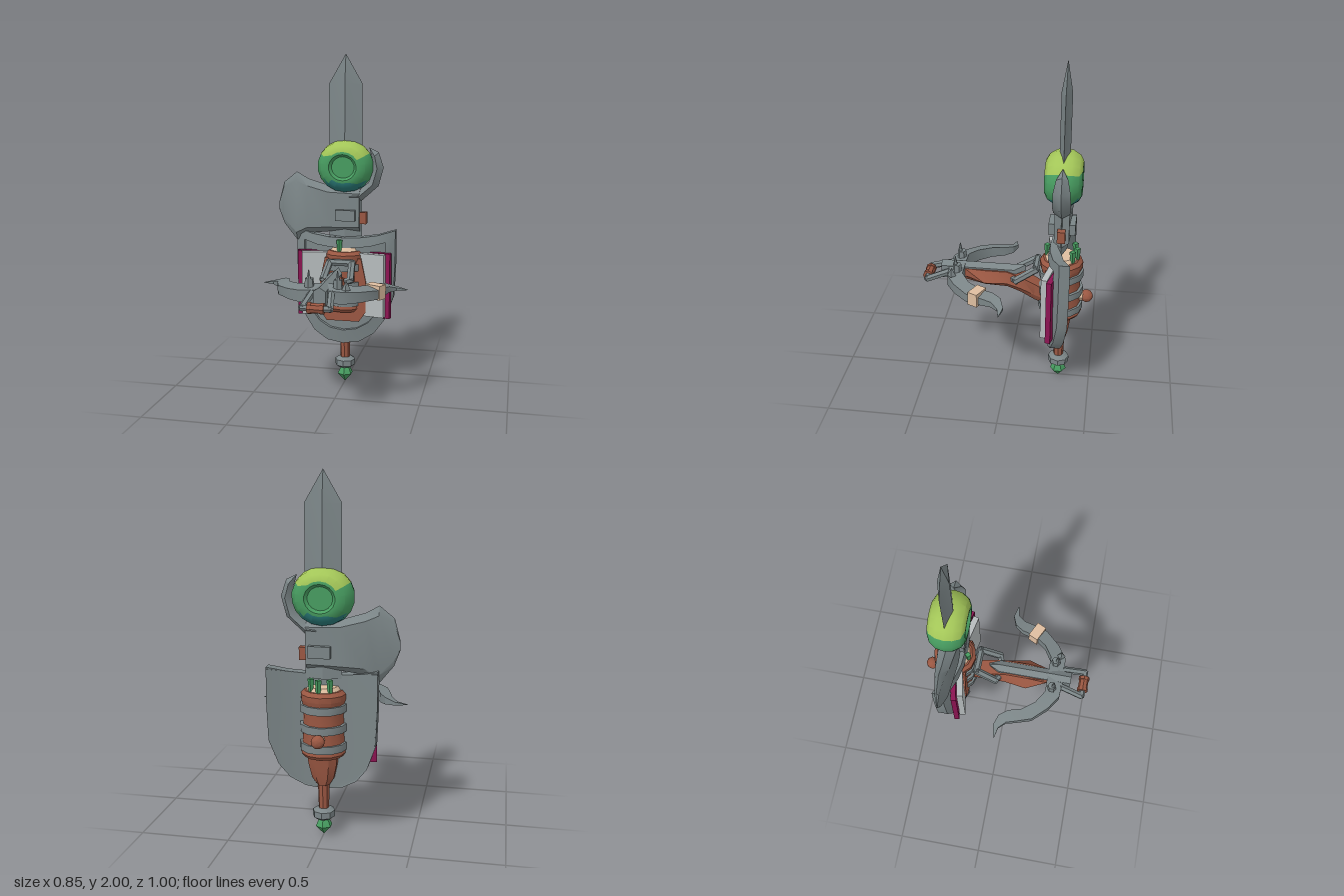
import * as THREE from 'three';
import { toCreasedNormals } from 'three/addons/utils/BufferGeometryUtils.js';

const mat = (name, color) => Object.assign(new THREE.MeshStandardMaterial({ color }), { name });
const V = (x, y, z) => new THREE.Vector3(x, y, z);
const ZC = -0.31; // depth of the upright bundle

// smooth across shallow bends, sharp at real edges
const crease = (geo) => toCreasedNormals(geo, 0.55);

// skin between rings of equal point count, wound outward by signed volume
function loft(rings, closed = false) {
  const tris = [], n = rings[0].length, m = rings.length;
  for (let i = 0; i < (closed ? m : m - 1); i++) {
    const a = rings[i], b = rings[(i + 1) % m];
    for (let j = 0; j < n; j++) {
      const k = (j + 1) % n;
      tris.push([a[j], a[k], b[k]], [a[j], b[k], b[j]]);
    }
  }
  if (!closed) {
    // caps are zipped strips, so concave arcs stay tidy
    const cap = (r, flip) => {
      for (let lo = 0, hi = n - 1; lo + 1 < hi; lo++, hi--) {
        const t = [[r[lo], r[hi], r[lo + 1]]];
        if (lo + 1 < hi - 1) t.push([r[lo + 1], r[hi], r[hi - 1]]);
        for (const q of t) tris.push(flip ? [q[0], q[2], q[1]] : q);
      }
    };
    cap(rings[0], false);
    cap(rings[m - 1], true);
  }
  const vol = tris.reduce((s, [a, b, c]) => s + a.dot(b.clone().cross(c)), 0);
  const pts = tris.flatMap(([a, b, c]) => (vol < 0 ? [a, c, b] : [a, b, c]));
  return crease(new THREE.BufferGeometry().setFromPoints(pts));
}

export function createModel() {
  const root = new THREE.Group();
  const steel = mat('steel', 0x7b8587), leather = mat('leather', 0x9a5742), lime = mat('lime', 0xa3c658),
    green = mat('green', 0x479c60), teal = mat('teal', 0x2a7a78), magenta = mat('magenta', 0x8c1452),
    paper = mat('paper', 0xb6bcbd), cream = mat('cream', 0xdebea0);

  const add = (name, geo, m, x = 0, y = 0, z = 0, parent = root) => {
    const mesh = new THREE.Mesh(geo, m);
    mesh.name = name;
    mesh.position.set(x, y, z);
    parent.add(mesh);
    return mesh;
  };
  const group = (name) => {
    const g = new THREE.Group();
    g.name = name;
    root.add(g);
    return g;
  };
  const box = (w, h, d) => new THREE.BoxGeometry(w, h, d);
  const cyl = (rt, rb, h, n = 8) => crease(new THREE.CylinderGeometry(rt, rb, h, n));
  const lathe = (pts, n) => crease(new THREE.LatheGeometry(pts.map((p) => new THREE.Vector2(...p)), n));
  const rod = (name, a, b, r, m, parent) => {
    const mesh = add(name, cyl(r, r, a.distanceTo(b) + r, 6), m, 0, 0, 0, parent);
    mesh.position.copy(a).lerp(b, 0.5);
    mesh.quaternion.setFromUnitVectors(V(0, 1, 0), b.clone().sub(a).normalize());
  };

  // sword blade with a diamond section
  add('swordBlade', loft([[0.9, 0.1, 0.03], [1.83, 0.1, 0.03], [2, 0.001, 0.001]].map(([y, w, t]) =>
    [V(w, y, ZC), V(0, y, ZC + t), V(-w, y, ZC), V(0, y, ZC - t)])), steel);

  // grip, pommel and gem at the foot
  add('grip', cyl(0.038, 0.028, 0.3), leather, 0, 0.29, ZC);
  add('pommel', lathe([[0, 0.095], [0.04, 0.095], [0.062, 0.11], [0.062, 0.145], [0.04, 0.16], [0, 0.16]], 8), steel, 0, 0, ZC);
  add('pommelGem', lathe([[0, 0], [0.048, 0.052], [0.035, 0.08], [0.02, 0.1]], 6), green, 0, 0, ZC);

  // flattened orb with a sunken disc each side, in three bands of colour
  const half = [[0.17, 0], [0.162, 0.045], [0.135, 0.085], [0.1, 0.103], [0.083, 0.103], [0.068, 0.085], [0, 0.085]];
  const orbGeo = new THREE.LatheGeometry([...half.slice(1).reverse().map(([r, z]) => [r, -z]), ...half]
    .map((q) => new THREE.Vector2(...q)), 18);
  orbGeo.rotateX(Math.PI / 2).scale(1, 0.93, 1);
  const orb = crease(orbGeo), p = orb.attributes.position;
  orb.clearGroups();
  for (let i = 0; i < p.count; i += 3) {
    const y = (p.getY(i) + p.getY(i + 1) + p.getY(i + 2)) / 3;
    const r = Math.hypot(y, (p.getX(i) + p.getX(i + 1) + p.getX(i + 2)) / 3);
    orb.addGroup(i, 3, r < 0.092 ? 1 : y > 0.064 ? 0 : y < -0.09 ? 2 : 1);
  }
  add('orb', orb, [lime, green, teal], 0, 1.345, ZC);

  // axe: fan blade, hooked back spike, collar and peg
  const axe = group('axe');
  const axeStations = [[-0.412, 1.12, 1.07, 0.003], [-0.38, 1.24, 0.985, 0.012], [-0.3, 1.305, 0.885, 0.026],
    [-0.23, 1.265, 0.93, 0.038], [-0.1, 1.225, 0.945, 0.05], [0.09, 1.215, 0.95, 0.042]];
  add('axeBlade', loft(axeStations.map(([x, t, b, d]) => {
    const c = (t + b) / 2, h = (t - b) * 0.38;
    return [V(x, t, ZC), V(x, c + h, ZC + d), V(x, c - h, ZC + d), V(x, b, ZC), V(x, c - h, ZC - d), V(x, c + h, ZC - d)];
  })), steel, 0, 0, 0, axe);
  const hook = [[0.03, 1.13, 0.03, 1.2, 0.05], [0.1, 1.14, 0.08, 1.2, 0.05], [0.2, 1.23, 0.14, 1.25, 0.05],
    [0.23, 1.34, 0.165, 1.33, 0.048], [0.2, 1.43, 0.16, 1.39, 0.033], [0.145, 1.457, 0.144, 1.452, 0.003]];
  add('axeHook', loft(hook.map(([x, y, u, v, d]) =>
    [V(x, y, ZC), V((x + u) / 2, (y + v) / 2, ZC + d), V(u, v, ZC), V((x + u) / 2, (y + v) / 2, ZC - d)])), steel, 0, 0, 0, axe);
  add('axeCollar', box(0.12, 0.065, 0.15), steel, 0.01, 1.055, ZC, axe);
  add('axePeg', box(0.1, 0.07, 0.045), leather, 0.08, 1.035, ZC, axe);

  // shield: bowed plate and raised rim
  const shield = group('shield');
  const bow = (x) => -0.258 - 0.8 * x * x;
  const rows = [[0.93, 0.3], [0.75, 0.3], [0.55, 0.29], [0.42, 0.24], [0.34, 0.18], [0.29, 0.1], [0.27, 0.02]];
  const us = [-1, -0.67, -0.33, 0, 0.33, 0.67, 1];
  add('shieldPlate', loft(rows.map(([y, w], i) => {
    const at = (u, d) => V(u * w, y + (i ? 0 : 0.03 * u * u - 0.01), bow(u * w) - d);
    return [...us.map((u) => at(u, 0)), ...[...us].reverse().map((u) => at(u, 0.045))];
  })), steel, 0, 0, 0, shield);
  const side = [[0.09, 0.922], [0.2, 0.935], [0.303, 0.962], [0.303, 0.75], [0.295, 0.55], [0.245, 0.41], [0.185, 0.33], [0.1, 0.28]];
  const outline = [[0, 0.92], ...side, [0, 0.265], ...[...side].reverse().map(([x, y]) => [-x, y])];
  add('shieldRim', loft(outline.map(([x, y]) => {
    const ix = x * 0.82, iy = 0.65 + (y - 0.65) * 0.78;
    return [V(x, y, bow(x) + 0.015), V(ix, iy, bow(ix) + 0.025), V(ix, iy, bow(ix) - 0.03), V(x, y, bow(x) - 0.044)];
  }), true), steel, 0, 0, 0, shield);

  // open book in front of the shield
  const book = group('book');
  for (const s of [1, -1]) {
    add('bookCover', box(0.13, 0.4, 0.03), magenta, s * 0.222, 0.632, -0.277, book).rotation.y = -s * 0.24;
    add('bookPages', box(0.25, 0.385, 0.035), paper, s * 0.13, 0.637, -0.257, book).rotation.y = -s * 0.2;
  }

  // leather pouch in front of the shield, scabbard tip behind it
  const pouch = new THREE.Shape([[-0.1, 0.41], [0.1, 0.41], [0.14, 0.47], [0.14, 0.66], [0.11, 0.8], [-0.11, 0.8], [-0.14, 0.66], [-0.14, 0.47]]
    .map((q) => new THREE.Vector2(...q)));
  add('pouch', new THREE.ExtrudeGeometry(pouch, { depth: 0.06, bevelEnabled: false }), leather, 0, 0, -0.288);
  add('scabbard', loft([[0.5, 0.085, -0.385], [0.42, 0.077, -0.372], [0.34, 0.06, -0.36], [0.3, 0.035, -0.35]].map(([y, w, z]) =>
    [V(w, y, -0.285), V(w, y, z + 0.025), V(w * 0.5, y, z), V(-w * 0.5, y, z), V(-w, y, z + 0.025), V(-w, y, -0.285)])), leather);

  // quiver with bands, cream lining, back knob and green shoots
  const quiver = group('quiver');
  add('quiverBody', lathe([[0, 0.47], [0.11, 0.47], [0.125, 0.49], [0.118, 0.52], [0.112, 0.7], [0.118, 0.77], [0.125, 0.79],
    [0.125, 0.82], [0.105, 0.84], [0, 0.84]], 12), leather, 0, 0, ZC, quiver);
  add('quiverLining', cyl(0.08, 0.1, 0.03, 12), cream, 0, 0.845, ZC, quiver);
  for (const y of [0.53, 0.635, 0.745]) add('quiverBand', cyl(0.13, 0.13, 0.042, 12), steel, 0, y, ZC, quiver);
  add('quiverKnob', crease(new THREE.IcosahedronGeometry(0.038, 1)), leather, 0, 0.59, -0.463, quiver);
  add('knobCollar', cyl(0.03, 0.03, 0.03), cream, 0, 0.59, -0.435, quiver).rotation.x = Math.PI / 2;
  for (const [x, z] of [[-0.02, -0.225], [-0.05, -0.385], [0.01, -0.4], [0.055, -0.375]])
    add('greenShoot', cyl(0.018, 0.012, 0.08, 4), green, x, 0.87, z, quiver);

  // crossbow stock
  const crossbow = group('crossbow');
  const stock = [[0.25, 0.035, 0.74, 0.66], [0.13, 0.09, 0.74, 0.645], [0, 0.07, 0.74, 0.635], [-0.08, 0.058, 0.71, 0.6], [-0.16, 0.045, 0.67, 0.55], [-0.21, 0.04, 0.64, 0.53]];
  add('stock', loft(stock.map(([z, w, t, b]) => {
    const c = b + (t - b) * 0.4, e = Math.min(w, 0.045);
    return [V(e, t, z), V(w, c, z), V(w * 0.4, b, z), V(-w * 0.4, b, z), V(-w, c, z), V(-e, t, z)];
  })), leather, 0, 0, 0, crossbow);
  add('rail', loft([[0.39, 0.035, 0.67], [-0.04, 0.035, 0.72], [-0.105, 0.003, 0.735]].map(([z, w, b]) =>
    [V(w, b, z), V(w, 0.75, z), V(0, 0.772, z), V(-w, 0.75, z), V(-w, b, z)])), steel, 0, 0, 0, crossbow);

  // crossbow limbs: inner x, z, outer x, z, top, bottom
  const limb = [[0, 0.25, 0, 0.345, 0.765, 0.675], [0.11, 0.25, 0.12, 0.338, 0.755, 0.672], [0.18, 0.205, 0.2, 0.285, 0.745, 0.672],
    [0.235, 0.13, 0.28, 0.2, 0.735, 0.672], [0.255, 0.055, 0.31, 0.11, 0.73, 0.675], [0.29, 0.005, 0.325, 0.055, 0.72, 0.678],
    [0.352, -0.018, 0.362, 0.015, 0.7, 0.68], [0.425, -0.001, 0.425, 0.001, 0.685, 0.683]];
  const limbRing = (s) => ([a, b, c, d, t, u]) => [V(s * a, t, b), V(s * c, t - (t - u) * 0.2, d), V(s * c, u, d), V(s * a, u, b)];
  add('bowLimbs', loft([...limb.slice(1).reverse().map(limbRing(-1)), ...limb.map(limbRing(1))]), steel, 0, 0, 0, crossbow);
  add('limbWrap', box(0.095, 0.08, 0.06), cream, 0.262, 0.704, 0.142, crossbow).rotation.y = -0.45;
  add('limbSpike', cyl(0.001, 0.025, 0.05, 4), steel, 0.13, 0.77, 0.31, crossbow);

  // paired studs, front stirrup and rear lever
  for (const s of [1, -1]) {
    add('stud', cyl(0.024, 0.028, 0.05, 6), steel, s * 0.08, 0.77, 0.285, crossbow);
    add('studHorn', cyl(0.002, 0.015, 0.06, 5), steel, s * 0.08, 0.815, 0.295, crossbow);
    rod('stirrupArm', V(s * 0.055, 0.725, 0.34), V(s * 0.075, 0.68, 0.465), 0.02, steel, crossbow);
    rod('stirrupBar', V(s * 0.075, 0.68, 0.468), V(s * 0.03, 0.68, 0.468), 0.018, steel, crossbow);
    rod('leverArm', V(s * 0.08, 0.71, -0.055), V(s * 0.068, 0.785, -0.168), 0.022, steel, crossbow);
    rod('leverFoot', V(s * 0.08, 0.71, -0.055), V(s * 0.05, 0.7, -0.04), 0.02, steel, crossbow);
    add('gripEnd', cyl(0.032, 0.032, 0.02, 8), leather, s * 0.035, 0.68, 0.468, crossbow).rotation.z = Math.PI / 2;
  }
  rod('leverBar', V(-0.068, 0.785, -0.168), V(0.068, 0.785, -0.168), 0.021, steel, crossbow);
  add('stirrupGrip', cyl(0.028, 0.028, 0.08, 8), leather, 0, 0.68, 0.468, crossbow).rotation.z = Math.PI / 2;

  return root;
}
